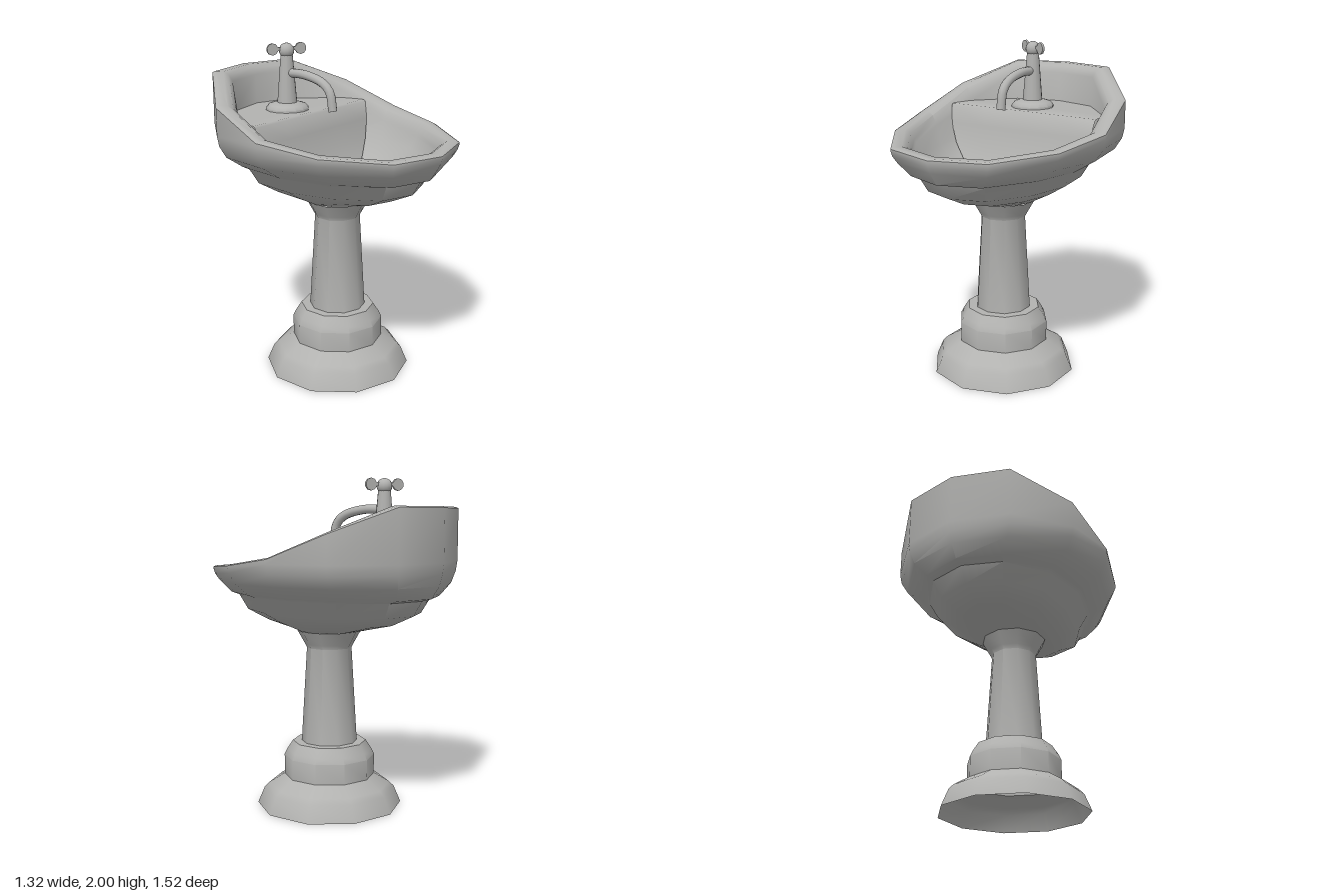
import * as THREE from 'three';
import { toCreasedNormals } from 'three/addons/utils/BufferGeometryUtils.js';

const porcelain = new THREE.MeshStandardMaterial({ color: 0xb2b2b0, side: THREE.DoubleSide });
porcelain.name = 'grey porcelain';

function add(parent, name, geometry, x = 0, y = 0, z = 0) {
  const mesh = new THREE.Mesh(geometry, porcelain);
  mesh.name = name;
  mesh.position.set(x, y, z);
  parent.add(mesh);
  return mesh;
}

// Skin a surface through rows of [x, y, z] points
function loft(rows, closed, crease = 0.75) {
  const n = rows[0].length, index = [];
  for (let k = 0; k < rows.length - 1; k++) {
    for (let i = 0; i < (closed ? n : n - 1); i++) {
      const j = (i + 1) % n;
      const a = k * n + i, b = k * n + j, c = b + n, d = a + n;
      index.push(a, d, b, b, d, c);
    }
  }
  const g = new THREE.BufferGeometry();
  g.setAttribute('position', new THREE.Float32BufferAttribute(rows.flat(2), 3));
  g.setIndex(index);
  return toCreasedNormals(g, crease);
}

function lathe(points, sides) {
  const profile = points.map(([r, y]) => new THREE.Vector2(r, y));
  return toCreasedNormals(new THREE.LatheGeometry(profile, sides), 0.7);
}

// Rim outline, back to front: x, z and rim height, then mirrored to -x
const half = [
  [0, -0.76, 1.835], [0.34, -0.67, 1.835], [0.6, -0.38, 1.695], [0.66, -0.02, 1.555],
  [0.57, 0.34, 1.505], [0.33, 0.665, 1.48], [0, 0.757, 1.475],
];
const outline = [...half, ...half.slice(1, -1).reverse().map(([x, z, h]) => [-x, z, h])];

// One basin ring: scales, z shift and height as a function of the rim height
const ring = (sx, sz, height, dz = 0) =>
  outline.map(([x, z, h]) => [x * sx, height(h), z * sz + dz]);
const at = (y) => () => y;
const below = (d) => (h) => h - d;

function createBasin() {
  const basin = new THREE.Group();
  basin.name = 'basin';
  add(basin, 'bowl', loft([
    // underside and outer wall
    ring(0.001, 0.001, at(1.09), 0.02),
    ring(0.29, 0.25, at(1.09), 0.02),
    ring(0.45, 0.56, at(1.145)),
    ring(0.61, 0.75, at(1.21)),
    ring(0.69, 0.82, at(1.3)),
    ring(0.73, 0.9, at(1.315)),
    ring(0.91, 0.965, at(1.39)),
    ring(0.98, 0.99, (h) => Math.min(1.46, h - 0.05)),
    ring(1, 1, (h) => Math.min(1.52, h - 0.02)),
    ring(1, 1, below(0.008)),
    // rounded rim
    ring(0.975, 0.98, below(0)),
    ring(0.9, 0.91, below(0)),
    ring(0.85, 0.87, below(0.02)),
    ring(0.82, 0.84, below(0.06)),
    // inner wall and floor
    ring(0.8, 0.83, (h) => Math.min(1.59, h - 0.08)),
    ring(0.74, 0.74, at(1.36), 0.01),
    ring(0.58, 0.6, at(1.26), 0.03),
    ring(0.35, 0.36, at(1.2), 0.05),
    ring(0.12, 0.12, at(1.18), 0.065),
    ring(0.001, 0.001, at(1.18), 0.065),
  ], true));

  // Flat back shelf that curves down into the bowl: z, y, half width
  const shelf = [
    [-0.65, 1.595, 0.05], [-0.57, 1.595, 0.29], [-0.33, 1.595, 0.5], [-0.175, 1.595, 0.515],
    [-0.16, 1.585, 0.515], [-0.135, 1.48, 0.5], [-0.1, 1.36, 0.44], [-0.05, 1.26, 0.34],
    [0.0, 1.185, 0.22],
  ];
  add(basin, 'tapShelf', loft(
    shelf.map(([z, y, w]) => [-1, -0.5, 0, 0.5, 1].map((t) => [-w * t, y, z])), false));

  add(basin, 'drain', new THREE.CylinderGeometry(0.052, 0.052, 0.006, 20), 0, 1.184, 0.065);
  return basin;
}

function createPedestal() {
  const pedestal = new THREE.Group();
  pedestal.name = 'pedestal';
  pedestal.position.z = 0.022;
  add(pedestal, 'foot', lathe([[0.447, 0], [0.405, 0.1], [0.375, 0.13], [0.279, 0.187]], 10));
  add(pedestal, 'collar', lathe(
    [[0.279, 0.187], [0.279, 0.31], [0.262, 0.345], [0.226, 0.4], [0.168, 0.4]], 10));
  add(pedestal, 'shaft', lathe([[0.171, 0.4], [0.137, 0.985], [0.15, 1.01], [0.195, 1.09]], 10));
  return pedestal;
}

function createTap() {
  const tap = new THREE.Group();
  tap.name = 'tap';
  tap.position.set(-0.027, 0, -0.35);
  add(tap, 'tapBase', lathe(
    [[0.132, 1.59], [0.132, 1.608], [0.115, 1.628], [0.075, 1.64], [0.001, 1.645]], 14));
  add(tap, 'tapColumn', new THREE.CylinderGeometry(0.036, 0.062, 0.31, 14), 0, 1.785, 0);
  add(tap, 'tapKnob', new THREE.SphereGeometry(0.046, 14, 10), 0, 1.953, 0);

  // Bent spout
  const path = new THREE.CatmullRomCurve3(
    [[1.82, 0], [1.82, 0.14], [1.785, 0.28], [1.735, 0.335], [1.625, 0.358]]
      .map(([y, z]) => new THREE.Vector3(0, y, z)));
  add(tap, 'spout', new THREE.TubeGeometry(path, 16, 0.027, 10));
  const mouth = add(tap, 'spoutMouth', new THREE.CircleGeometry(0.027, 10), 0, 1.625, 0.358);
  mouth.rotation.x = Math.PI / 2 - 0.18;

  // Two-lobed turning handle
  const handle = new THREE.Group();
  handle.name = 'handle';
  handle.position.y = 1.963;
  handle.rotation.y = -0.49;
  tap.add(handle);
  add(handle, 'handleBar', new THREE.BoxGeometry(0.15, 0.022, 0.012));
  for (const side of [-1, 1]) {
    const lobe = add(handle, 'handleLobe',
      new THREE.CylinderGeometry(0.036, 0.036, 0.014, 10), side * 0.09, 0, 0);
    lobe.rotation.x = Math.PI / 2;
  }
  return tap;
}

export function createModel() {
  const model = new THREE.Group();
  model.name = 'pedestalSink';
  model.add(createPedestal(), createBasin(), createTap());
  return model;
}
